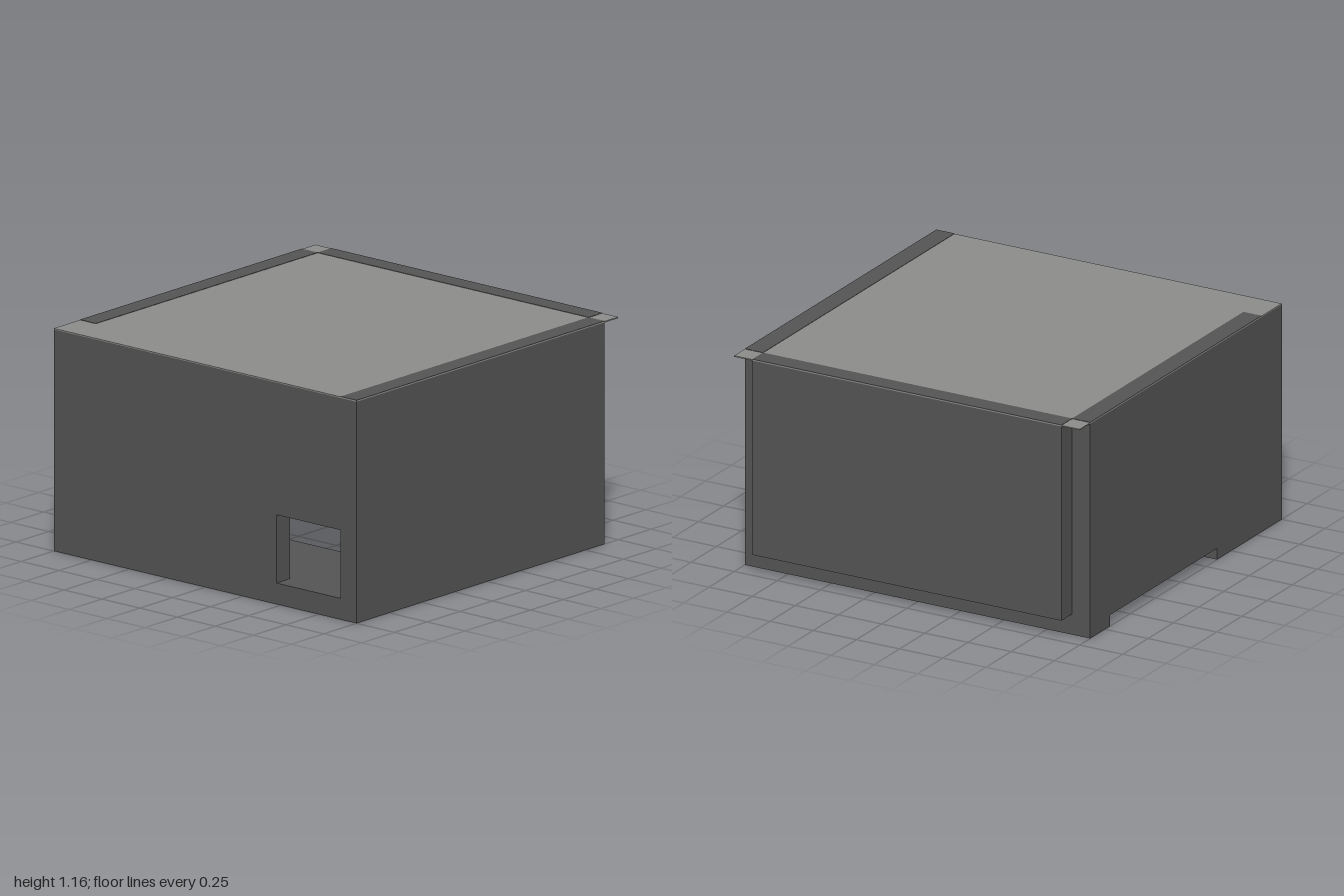
import * as THREE from 'three';

export function createModel() {
  const group = new THREE.Group();
  const dark = new THREE.MeshStandardMaterial({ color: 0x555555 });
  dark.name = 'dark grey';
  const light = new THREE.MeshStandardMaterial({ color: 0x8d8f8b });
  light.name = 'light grey';

  const IN = 0.895;    // inner face of the walls
  const BASE = 0.06;   // underside, raised inside the thin skirt
  const TOP = 1.152;   // underside of the roof sheet
  const LIP = 0.01;    // skirt thickness

  // Box given by its low and high corners
  function box(name, x0, x1, y0, y1, z0, z1, material = dark) {
    const mesh = new THREE.Mesh(new THREE.BoxGeometry(x1 - x0, y1 - y0, z1 - z0), material);
    mesh.position.set((x0 + x1) / 2, (y0 + y1) / 2, (z0 + z1) / 2);
    mesh.name = name;
    group.add(mesh);
  }

  // Front wall with a square opening
  const front = new THREE.Shape();
  front.moveTo(-1, BASE).lineTo(1, BASE).lineTo(1, TOP).lineTo(-1, TOP).closePath();
  const opening = new THREE.Path();
  opening.moveTo(0.47, 0.11).lineTo(0.47, 0.465).lineTo(IN, 0.465).lineTo(IN, 0.11).closePath();
  front.holes.push(opening);
  const wall = new THREE.Mesh(
    new THREE.ExtrudeGeometry(front, { depth: 1 - IN, bevelEnabled: false }), dark);
  wall.position.z = IN;
  wall.name = 'frontWall';
  group.add(wall);

  // Side walls and the back panel, which leaves open corner notches
  box('leftWall', IN, 1, BASE, TOP, -IN, IN);
  box('rightWall', -1, -IN, BASE, TOP, -IN, IN);
  box('backPanel', -IN, IN, 0.11, TOP, -1, -IN);

  // Floors at the front and back, open between them
  box('frontFloor', -IN, IN, BASE, 0.11, 0.36, IN);
  box('backFloor', -IN, IN, BASE, 0.11, -IN, -0.7);

  // Thin skirts below the walls and floors
  box('frontSkirt', -1, 1, 0, BASE, 1 - LIP, 1);
  box('leftSkirt', 1 - LIP, 1, 0, BASE, -IN, 1 - LIP);
  box('rightFrontSkirt', -1, -1 + LIP, 0, BASE, 0.36, 1 - LIP);
  box('rightBackSkirt', -1, -1 + LIP, 0, BASE, -IN, -0.7);
  box('backSkirt', -1 + LIP, 1 - LIP, 0, BASE, -IN, -IN + LIP);
  box('frontFloorLip', -1 + LIP, 1 - LIP, 0, BASE, 0.36, 0.36 + LIP);
  box('backFloorLip', -1 + LIP, 1 - LIP, 0, BASE, -0.7 - LIP, -0.7);

  // Roof sheet over everything, with the wall tops showing as dark borders
  box('roof', -1, 1, TOP, 1.158, -1, 1, light);
  box('leftRoofBorder', IN, 1, 1.158, 1.16, -IN, 1);
  box('rightRoofBorder', -1, -IN, 1.158, 1.16, -IN, 0.8);
  box('backRoofBorder', -IN, IN, 1.158, 1.16, -1, -IN);

  return group;
}
